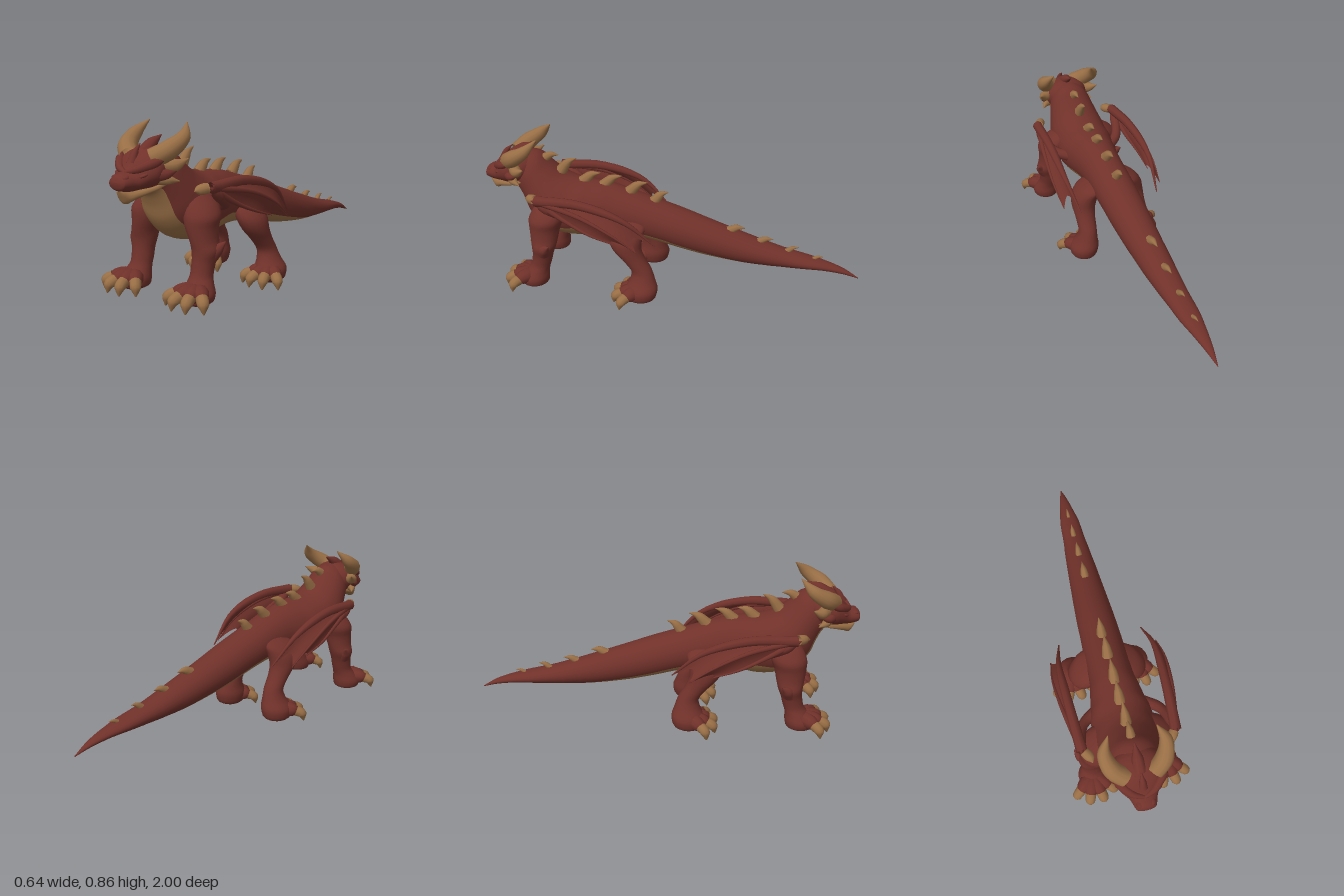
import * as THREE from 'three';
import { ParametricGeometry } from 'three/addons/geometries/ParametricGeometry.js';

const V = (x, y, z) => new THREE.Vector3(x, y, z);
const mat = (name, color) => {
  const m = new THREE.MeshStandardMaterial({ color, side: THREE.DoubleSide });
  m.name = name;
  return m;
};
const lerp = THREE.MathUtils.lerp;

// skin over a list of closed rings; the first `split` strips use the second material
function loft(rings, split = 0) {
  const n = rings[0].length, pts = rings.flat(), first = [], second = [];
  for (let i = 0; i < rings.length - 1; i++) {
    for (let j = 0; j < n; j++) {
      const k = (j + 1) % n, a = i * n + j, b = i * n + k, c = a + n, d = b + n;
      (j < split ? second : first).push(a, b, d, a, d, c);
    }
  }
  const index = [...first, ...second];
  // turn the faces outward
  const mid = pts.reduce((s, p) => s.add(p), V(0, 0, 0)).divideScalar(pts.length);
  let vol = 0;
  for (let i = 0; i < index.length; i += 3) {
    const [a, b, c] = [0, 1, 2].map((q) => pts[index[i + q]].clone().sub(mid));
    vol += a.dot(b.cross(c));
  }
  if (vol < 0) for (let i = 0; i < index.length; i += 3) [index[i], index[i + 1]] = [index[i + 1], index[i]];
  const g = new THREE.BufferGeometry().setFromPoints(pts);
  g.setIndex(index);
  if (split) {
    g.addGroup(0, first.length, 0);
    g.addGroup(first.length, second.length, 1);
  }
  g.computeVertexNormals();
  return g;
}

// body-like form: stations [topZ, topY, bottomZ, bottomY, halfWidth, undersideAngle]
function trunk(stations, steps, split = 0, n = 30) {
  const spline = (f) => new THREE.CatmullRomCurve3(stations.map(f));
  const top = spline((s) => V(0, s[1], s[0])), bottom = spline((s) => V(0, s[3], s[2]));
  const size = spline((s) => V(s[4], s[5] || 0, 0));
  const rings = [];
  for (let i = 0; i <= steps; i++) {
    const t = i / steps, a = top.getPoint(t), b = bottom.getPoint(t), s = size.getPoint(t);
    const c = a.clone().add(b).multiplyScalar(0.5), v = a.sub(b).multiplyScalar(0.5);
    rings.push(Array.from({ length: n }, (_, j) => {
      let th = (j / n) * Math.PI * 2;
      if (split) th = j <= split ? lerp(-s.y, s.y, j / split) : lerp(s.y, 2 * Math.PI - s.y, (j - split) / (n - split));
      return c.clone().addScaledVector(v, -Math.cos(th)).add(V(s.x * Math.sin(th), 0, 0));
    }));
  }
  return loft(rings, split);
}

// limb: horizontal oval sections [x, y, z, radiusX, radiusZ]
function limb(sections, n = 18) {
  const pos = new THREE.CatmullRomCurve3(sections.map((s) => V(s[0], s[1], s[2])));
  const rad = new THREE.CatmullRomCurve3(sections.map((s) => V(s[3], s[4], 0)));
  const steps = sections.length * 3;
  return loft(Array.from({ length: steps + 1 }, (_, i) => {
    const p = pos.getPoint(i / steps), r = rad.getPoint(i / steps);
    return Array.from({ length: n }, (_, j) => {
      const a = (j / n) * Math.PI * 2;
      return V(p.x + r.x * Math.cos(a), p.y, p.z + r.y * Math.sin(a));
    });
  }));
}

// curved tapering tube for horns, claws, toes and wing bones
function horn(points, radii, n = 10, steps = 10) {
  const curve = new THREE.CatmullRomCurve3(points.map((p) => V(...p)));
  const { normals, binormals } = curve.computeFrenetFrames(steps);
  return loft(Array.from({ length: steps + 1 }, (_, i) => {
    const p = curve.getPointAt(i / steps), f = (i / steps) * (radii.length - 1);
    const k = Math.min(Math.floor(f), radii.length - 2), r = lerp(radii[k], radii[k + 1], f - k);
    return Array.from({ length: n }, (_, j) => {
      const a = (j / n) * Math.PI * 2;
      return p.clone().addScaledVector(normals[i], r * Math.cos(a)).addScaledVector(binormals[i], r * Math.sin(a));
    });
  }));
}

function mirrored(geometry) {
  const g = geometry.clone().scale(-1, 1, 1), ix = g.index.array;
  for (let i = 0; i < ix.length; i += 3) [ix[i], ix[i + 1]] = [ix[i + 1], ix[i]];
  g.computeVertexNormals();
  return g;
}

export function createModel() {
  const model = new THREE.Group();
  const red = mat('redHide', 0x70312a), tan = mat('tanHorn', 0x986e45);
  const add = (name, geometry, material, parent = model) => {
    const m = new THREE.Mesh(geometry, material);
    m.name = name;
    parent.add(m);
  };
  // adds a left part and its mirror image
  const pair = (name, parts, rightLift = 0) => {
    for (const side of ['left', 'right']) {
      const g = new THREE.Group();
      g.name = side + name;
      for (const [part, geo, m] of parts) add(part, side === 'left' ? geo : mirrored(geo), m, g);
      if (side === 'right') g.position.y = rightLift;
      model.add(g);
    }
  };

  // neck, body and tail with a tan underside
  add('body', trunk([
    [0.78, 0.765, 0.86, 0.58, 0.085, 0.8], [0.7, 0.755, 0.82, 0.555, 0.11, 0.8],
    [0.64, 0.7, 0.79, 0.5, 0.13, 0.75], [0.57, 0.645, 0.76, 0.42, 0.15, 0.72],
    [0.5, 0.62, 0.68, 0.335, 0.155, 0.85], [0.42, 0.61, 0.52, 0.295, 0.145, 1.15],
    [0.33, 0.6, 0.38, 0.315, 0.125, 1.15], [0.22, 0.57, 0.24, 0.32, 0.11, 1],
    [0.08, 0.525, 0.08, 0.295, 0.108, 1], [-0.06, 0.48, -0.06, 0.26, 0.103, 0.95],
    [-0.2, 0.43, -0.2, 0.23, 0.095, 0.9], [-0.4, 0.36, -0.4, 0.203, 0.082, 0.7],
    [-0.6, 0.295, -0.6, 0.195, 0.064, 0.25], [-0.8, 0.245, -0.8, 0.192, 0.043, 0.05],
    [-0.92, 0.205, -0.92, 0.175, 0.021, 0.05], [-1, 0.158, -1, 0.153, 0.002, 0.05],
  ], 64, 10), [red, tan]);

  // head and wedge-shaped lower jaw
  add('head', trunk([
    [0.7, 0.735, 0.72, 0.62, 0.07], [0.77, 0.768, 0.78, 0.59, 0.118], [0.85, 0.757, 0.85, 0.583, 0.124],
    [0.895, 0.724, 0.9, 0.586, 0.1], [0.935, 0.678, 0.94, 0.585, 0.066], [0.97, 0.666, 0.975, 0.592, 0.054],
    [0.99, 0.655, 0.992, 0.6, 0.045], [0.9995, 0.635, 0.9995, 0.622, 0.015], [1, 0.63, 1, 0.6299, 0.0002],
  ], 32), red);
  add('lowerJaw', trunk([
    [0.77, 0.635, 0.77, 0.598, 0.106], [0.83, 0.622, 0.83, 0.58, 0.104], [0.88, 0.61, 0.88, 0.56, 0.078],
    [0.92, 0.6, 0.92, 0.545, 0.052], [0.95, 0.596, 0.95, 0.534, 0.034], [0.975, 0.598, 0.97, 0.565, 0.022],
    [0.983, 0.597, 0.983, 0.5969, 0.0002],
  ], 24, 0, 16), tan);
  add('headCrest', horn([[0, 0.735, 0.83], [0, 0.77, 0.785], [0, 0.806, 0.715]], [0.036, 0.026, 0.002]), red);
  add('browCrest', horn([[0, 0.7, 0.9], [0, 0.75, 0.878], [0, 0.783, 0.845]], [0.024, 0.015, 0.001]), red);

  pair('HeadDetails', [
    ['horn', horn([[0.068, 0.72, 0.845], [0.12, 0.755, 0.805], [0.143, 0.803, 0.735], [0.112, 0.864, 0.67]],
      [0.046, 0.044, 0.031, 0.002], 12, 16), tan],
    ['earSpike', horn([[0.09, 0.69, 0.81], [0.14, 0.692, 0.78], [0.172, 0.717, 0.735]], [0.034, 0.028, 0.002]), tan],
    ['cheekSpike', horn([[0.085, 0.635, 0.83], [0.12, 0.63, 0.81], [0.152, 0.622, 0.77]], [0.028, 0.02, 0.002]), tan],
    ['cheekFrill', horn([[0.09, 0.655, 0.84], [0.125, 0.657, 0.82], [0.147, 0.67, 0.78]], [0.036, 0.022, 0.002]), red],
    ['brow', horn([[0.002, 0.668, 0.943], [0.05, 0.682, 0.922], [0.09, 0.702, 0.88], [0.138, 0.73, 0.82]],
      [0.01, 0.019, 0.024, 0.002]), red],
    ['eye', new THREE.SphereGeometry(1, 12, 8).scale(0.022, 0.008, 0.01).rotateZ(0.35).rotateY(0.9)
      .translate(0.08, 0.658, 0.91), red],
    ['nostrilRidge', new THREE.SphereGeometry(1, 12, 8).scale(0.016, 0.012, 0.022).translate(0.03, 0.65, 0.965), red],
  ]);

  // dorsal spikes: base z, base y, tip z, tip y, radius
  for (const [z0, y0, z1, y1, r] of [
    [0.68, 0.715, 0.595, 0.743, 0.028], [0.59, 0.65, 0.5, 0.732, 0.032], [0.47, 0.6, 0.375, 0.656, 0.033],
    [0.36, 0.585, 0.26, 0.648, 0.033], [0.22, 0.56, 0.125, 0.62, 0.033], [0.09, 0.515, 0.012, 0.575, 0.031],
    [-0.31, 0.375, -0.395, 0.397, 0.027], [-0.47, 0.325, -0.545, 0.345, 0.022],
    [-0.62, 0.28, -0.68, 0.31, 0.018], [-0.76, 0.25, -0.81, 0.265, 0.012],
  ]) {
    const middle = [0, lerp(y0, y1, 0.55) + r * 0.4, lerp(z0, z1, 0.5)];
    const g = horn([[0, y0, z0], middle, [0, y1, z1]], [r, r * 0.7, 0.001], 8).scale(0.9, 1, 1);
    g.computeVertexNormals();
    add('dorsalSpike', g, tan);
  }

  // four toes with stubby claws, fanned around a paw centre
  const toes = (x, y, z) => [-46, -14, 18, 50].flatMap((deg) => {
    const a = THREE.MathUtils.degToRad(deg);
    const at = (d, h) => [x + d * Math.sin(a), y + h, z + d * Math.cos(a)];
    return [
      ['toe', horn([at(0.01, 0.06), at(0.06, 0.066), at(0.1, 0.058), at(0.124, 0.042)], [0.042, 0.042, 0.035, 0.003]), red],
      ['claw', horn([at(0.1, 0.06), at(0.13, 0.048), at(0.144, 0.004)], [0.029, 0.026, 0.003]), tan],
    ];
  });

  pair('FrontLeg', [
    ['frontLeg', limb([
      [0.1, 0.56, 0.6, 0.01, 0.01], [0.115, 0.54, 0.61, 0.04, 0.06], [0.14, 0.5, 0.62, 0.068, 0.085],
      [0.16, 0.45, 0.635, 0.082, 0.092], [0.165, 0.4, 0.645, 0.073, 0.082], [0.18, 0.34, 0.648, 0.063, 0.072],
      [0.19, 0.3, 0.65, 0.066, 0.064], [0.187, 0.25, 0.66, 0.055, 0.055], [0.185, 0.19, 0.675, 0.053, 0.053],
      [0.19, 0.15, 0.695, 0.064, 0.062], [0.195, 0.11, 0.71, 0.076, 0.076], [0.195, 0.08, 0.712, 0.07, 0.072],
      [0.195, 0.066, 0.715, 0.04, 0.045], [0.195, 0.064, 0.715, 0.001, 0.001],
    ]), red],
    ['elbowSpike', horn([[0.215, 0.275, 0.645], [0.243, 0.305, 0.63], [0.264, 0.335, 0.6]], [0.038, 0.027, 0.002]), red],
    ...toes(0.195, 0.06, 0.715),
  ]);
  pair('HindLeg', [
    ['hindLeg', limb([
      [0.07, 0.45, 0.2, 0.01, 0.01], [0.08, 0.435, 0.205, 0.035, 0.065], [0.108, 0.4, 0.215, 0.062, 0.096],
      [0.132, 0.355, 0.222, 0.07, 0.092], [0.146, 0.3, 0.21, 0.064, 0.077], [0.153, 0.24, 0.17, 0.053, 0.061],
      [0.158, 0.18, 0.13, 0.05, 0.056], [0.168, 0.13, 0.125, 0.06, 0.068], [0.182, 0.08, 0.13, 0.08, 0.088],
      [0.185, 0.035, 0.132, 0.072, 0.08], [0.185, 0.017, 0.135, 0.045, 0.05], [0.185, 0.014, 0.135, 0.001, 0.001],
    ]), red],
    ...toes(0.185, 0.004, 0.135),
  ], 0.025);

  // folded wings: fingers from the wrist with a scalloped membrane between them
  const wrist = [0.232, 0.582, 0.66];
  const fingers = [
    [wrist, [0.245, 0.585, 0.43], [0.25, 0.515, 0.2], [0.225, 0.375, 0.045]],
    [wrist, [0.28, 0.535, 0.42], [0.297, 0.455, 0.25], [0.288, 0.365, 0.13]],
    [wrist, [0.25, 0.49, 0.5], [0.27, 0.435, 0.38], [0.272, 0.39, 0.25]],
  ];
  const curves = fingers.map((f) => new THREE.CatmullRomCurve3(f.map((p) => V(...p))));
  const membrane = new ParametricGeometry((u, v, out) => {
    const f = u * 2, i = Math.min(Math.floor(f), 1), t = f - i;
    const reach = v * (1 - 0.16 * Math.sin(Math.PI * t));
    out.copy(curves[i].getPoint(reach)).lerp(curves[i + 1].getPoint(reach), t);
    out.x -= 0.01 * Math.sin(Math.PI * t) * v;
  }, 24, 12);
  pair('Wing', [
    ['wingArm', horn([[0.1, 0.46, 0.45], [0.19, 0.485, 0.51], [0.228, 0.54, 0.6], [0.234, 0.582, 0.67], [0.234, 0.585, 0.682]],
      [0.035, 0.028, 0.026, 0.029, 0.002], 10, 14), red],
    ...fingers.map((f, i) => ['wingFinger', horn(f, [[0.028, 0.022, 0.003], [0.017, 0.01, 0.002], [0.02, 0.01, 0.002]][i], 8, 14), red]),
    ['wingMembrane', membrane, red],
    ['wingClaw', horn([[0.222, 0.583, 0.665], [0.2, 0.578, 0.7], [0.194, 0.575, 0.722], [0.193, 0.574, 0.726]],
      [0.024, 0.026, 0.022, 0.001]), tan],
  ]);
  return model;
}
